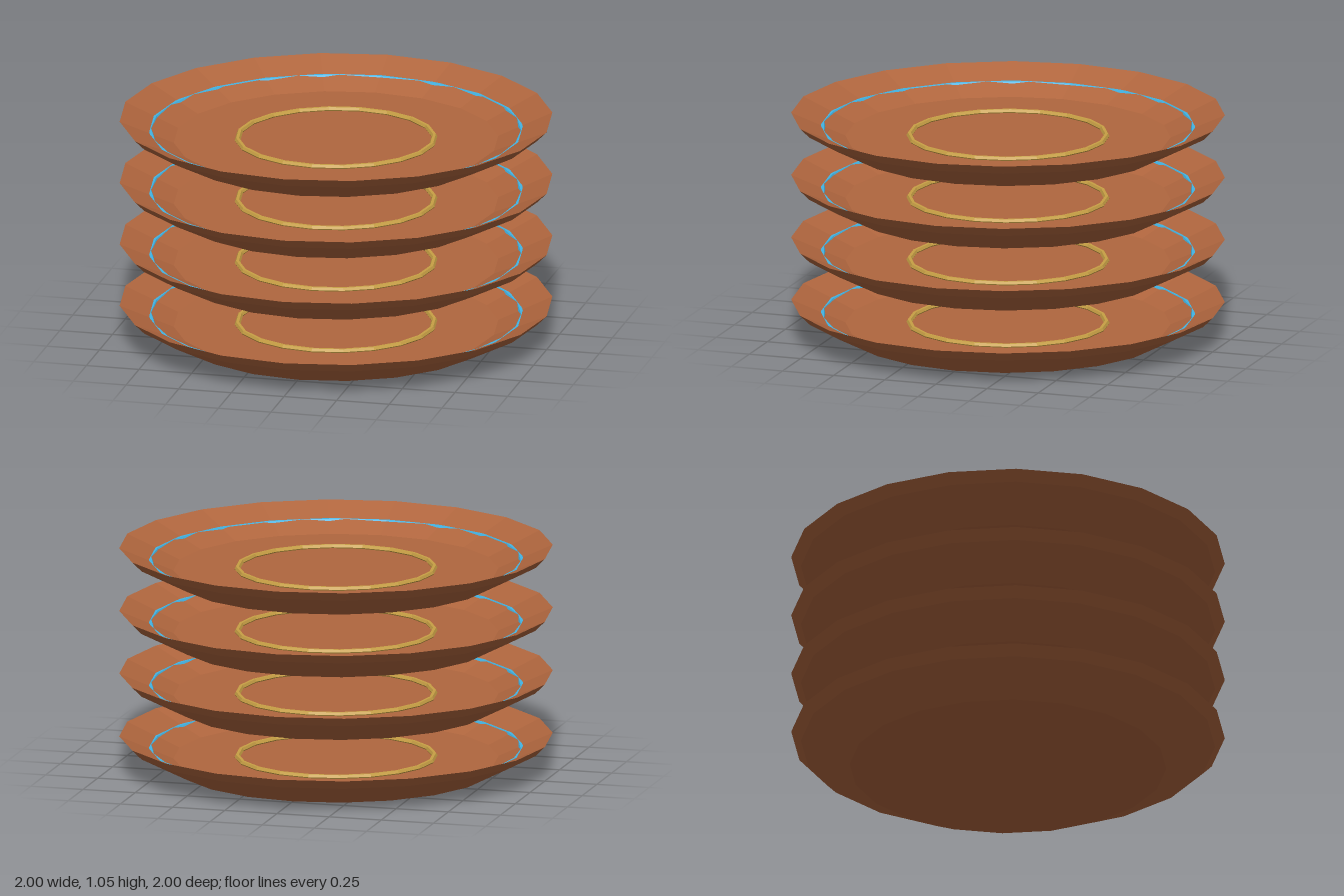
import * as THREE from 'three';

const clay = new THREE.MeshStandardMaterial({ name: 'terracotta', color: 0xb0663e, flatShading: true });
const blue = new THREE.MeshStandardMaterial({ name: 'blue glaze', color: 0x43b4e4, flatShading: true });
const gold = new THREE.MeshStandardMaterial({ name: 'gold glaze', color: 0xc8a045, flatShading: true });

const SIDES = 20, COUNT = 4, SPACING = 0.296;

// Closed section: underside, flared wall, sharp rim, inner slope, floor
const profile = [
  [0, 0], [0.73, 0], [0.955, 0.115], [1, 0.16], [0.75, 0.053], [0, 0.053],
].map(([r, y]) => new THREE.Vector2(r, y));

const plateGeometry = new THREE.LatheGeometry(profile, SIDES);

// Horizontal ring lying in the plate
function ringGeometry(radius, tube, y, segments) {
  return new THREE.TorusGeometry(radius, tube, 6, segments).rotateX(Math.PI / 2).translate(0, y, 0);
}
const rimRing = ringGeometry(0.86, 0.014, 0.09, 28);
const centreRing = ringGeometry(0.455, 0.0135, 0.058, SIDES);

function add(parent, name, geometry, material) {
  const mesh = new THREE.Mesh(geometry, material);
  mesh.name = name;
  parent.add(mesh);
}

export function createModel() {
  const model = new THREE.Group();
  model.name = 'plateStack';
  for (let i = 0; i < COUNT; i++) {
    const plate = new THREE.Group();
    plate.name = `plate${i + 1}`;
    plate.position.y = i * SPACING;
    add(plate, 'dish', plateGeometry, clay);
    add(plate, 'rimRing', rimRing, blue);
    add(plate, 'centreRing', centreRing, gold);
    model.add(plate);
  }
  return model;
}
